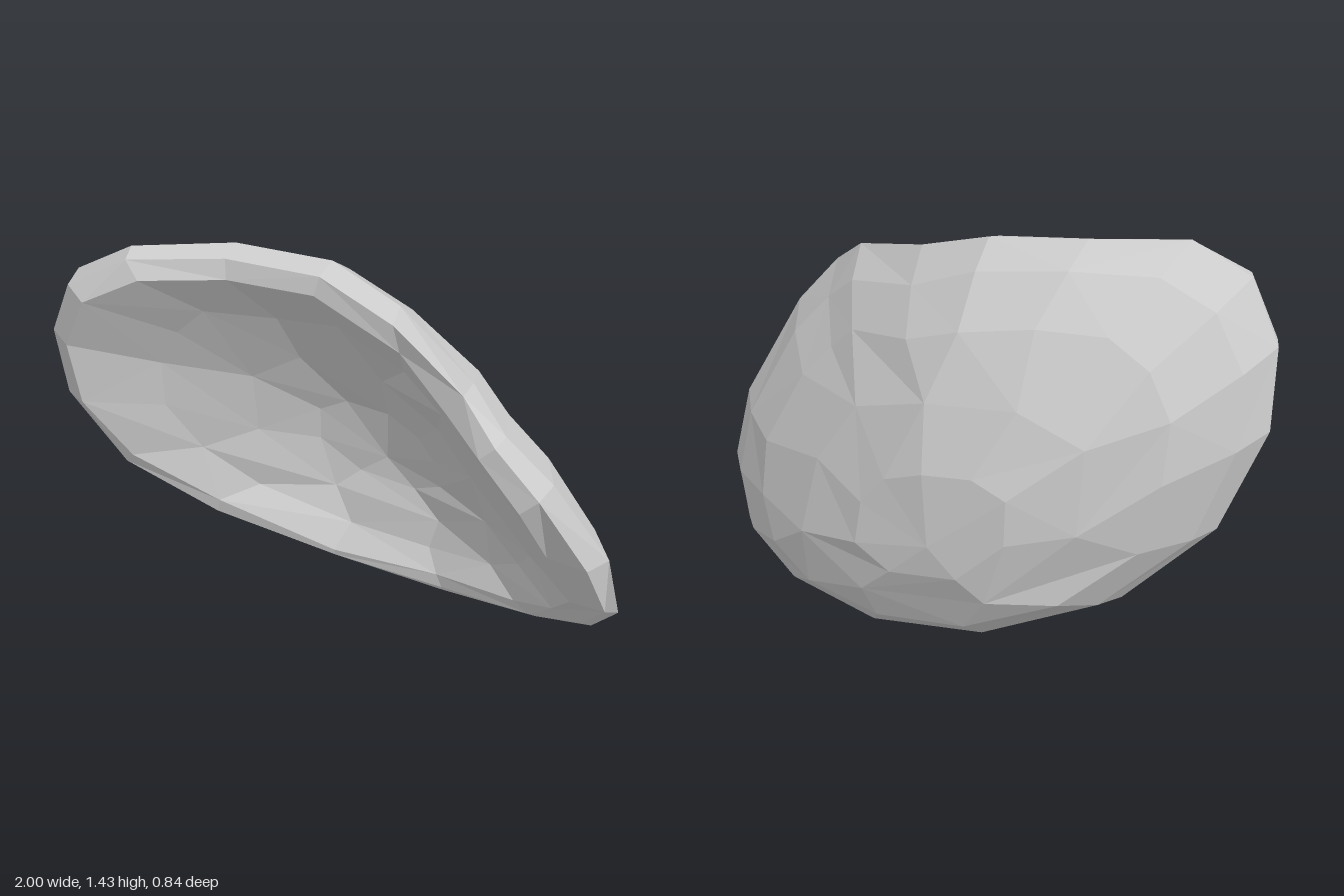
import * as THREE from 'three';

// Spokes of the lip, clockwise from the top: outer edge x,y,z then inner edge x,y,z
const LIP = [
  [-0.06, 1.415, 0.05, -0.08, 1.33, 0.145],
  [0.20, 1.34, 0.10, 0.24, 1.23, 0.19],
  [0.52, 1.25, 0.28, 0.46, 1.15, 0.33],
  [0.66, 1.15, 0.36, 0.60, 1.09, 0.42],
  [0.80, 0.99, 0.31, 0.73, 0.92, 0.40],
  [0.96, 0.65, 0.16, 0.79, 0.68, 0.27],
  [1.00, 0.40, 0.10, 0.84, 0.40, 0.12],
  [0.89, 0.20, -0.02, 0.75, 0.24, 0.00],
  [0.66, 0.07, -0.12, 0.58, 0.13, -0.10],
  [0.28, 0.00, -0.18, 0.25, 0.075, -0.17],
  [-0.16, 0.04, -0.16, -0.16, 0.075, -0.13],
  [-0.59, 0.20, -0.02, -0.57, 0.28, 0.02],
  [-0.87, 0.46, 0.12, -0.82, 0.52, 0.19],
  [-1.00, 0.82, 0.19, -0.91, 0.80, 0.32],
  [-0.99, 1.10, 0.24, -0.91, 1.05, 0.36],
  [-0.88, 1.31, 0.28, -0.80, 1.25, 0.385],
  [-0.68, 1.42, 0.25, -0.62, 1.34, 0.32],
  [-0.38, 1.43, 0.10, -0.37, 1.34, 0.19],
];
const N = LIP.length;
const outer = LIP.map(p => new THREE.Vector3(p[0], p[1], p[2]));
const inner = LIP.map(p => new THREE.Vector3(p[3], p[4], p[5]));

// Small seeded noise for uneven facets
let seed = 7;
const noise = () => {
  seed = (seed * 16807) % 2147483647;
  return seed / 2147483647 - 0.5;
};

// A ring of the bowl at fraction t between its deepest point and an edge loop;
// "flare" is the share of the depth that rises steeply at the edge
function bowlRing(edge, centre, t, basePower, flare) {
  const ring = edge.map(e => {
    const dir = Math.atan2(e.y - centre.y, e.x - centre.x);
    const power = basePower + 1.4 * Math.max(0, -Math.sin(dir)); // rounder towards the bottom
    const wobble = t > 0 && t < 1 ? 1 + noise() * 0.06 : 1;
    const p = centre.clone().lerp(e, t * wobble);
    const s = t * wobble;
    p.z = THREE.MathUtils.lerp(centre.z, e.z, (1 - flare) * s ** power + flare * s ** 12);
    return p;
  });
  if (t >= 0.55) return ring;
  // Fewer, larger facets near the middle: neighbouring spokes merge in pairs
  return ring.map((p, i) => {
    const first = i - (i % 2);
    return ring[first].clone().lerp(ring[first + 1], 0.5);
  });
}

// Skin between successive rings, leaving out collapsed triangles
function skin(rings) {
  const pos = [];
  const tri = (a, b, c) => {
    if (a.distanceTo(b) < 1e-6 || b.distanceTo(c) < 1e-6 || c.distanceTo(a) < 1e-6) return;
    for (const v of [a, b, c]) pos.push(v.x, v.y, v.z);
  };
  for (let r = 0; r + 1 < rings.length; r++) {
    const a = rings[r], b = rings[r + 1];
    for (let i = 0; i < N; i++) {
      const j = (i + 1) % N;
      if ((i + r) % 2) {
        tri(a[i], b[i], b[j]);
        tri(a[i], b[j], a[j]);
      } else {
        tri(a[i], b[i], a[j]);
        tri(b[i], b[j], a[j]);
      }
    }
  }
  const geo = new THREE.BufferGeometry();
  geo.setAttribute('position', new THREE.Float32BufferAttribute(pos, 3));
  geo.computeVertexNormals();
  return geo;
}

export function createModel() {
  const group = new THREE.Group();
  group.name = 'hollowShell';
  const grey = new THREE.MeshStandardMaterial({ color: 0xcccccc, flatShading: true });
  grey.name = 'light grey';

  const backCentre = new THREE.Vector3(-0.03, 0.5, -0.42);
  const hollowCentre = new THREE.Vector3(0, 0.48, -0.26);
  // Front corner of the lip: almost as wide as the outer edge, as far forward as the inner
  const lipCorner = outer.map((o, i) => {
    const p = o.clone().lerp(inner[i], 0.25);
    p.z = THREE.MathUtils.lerp(o.z, inner[i].z, 0.85);
    return p;
  });

  const add = (name, rings) => {
    const mesh = new THREE.Mesh(skin(rings), grey);
    mesh.name = name;
    group.add(mesh);
  };
  add('roundedBack', [0, 0.28, 0.52, 0.74, 0.91, 1].map(t => bowlRing(outer, backCentre, t, 2, 0.15)));
  add('lip', [outer, lipCorner, inner]);
  add('hollow', [1, 0.78, 0.53, 0.28, 0].map(t => bowlRing(inner, hollowCentre, t, 1.7, 0)));
  return group;
}
